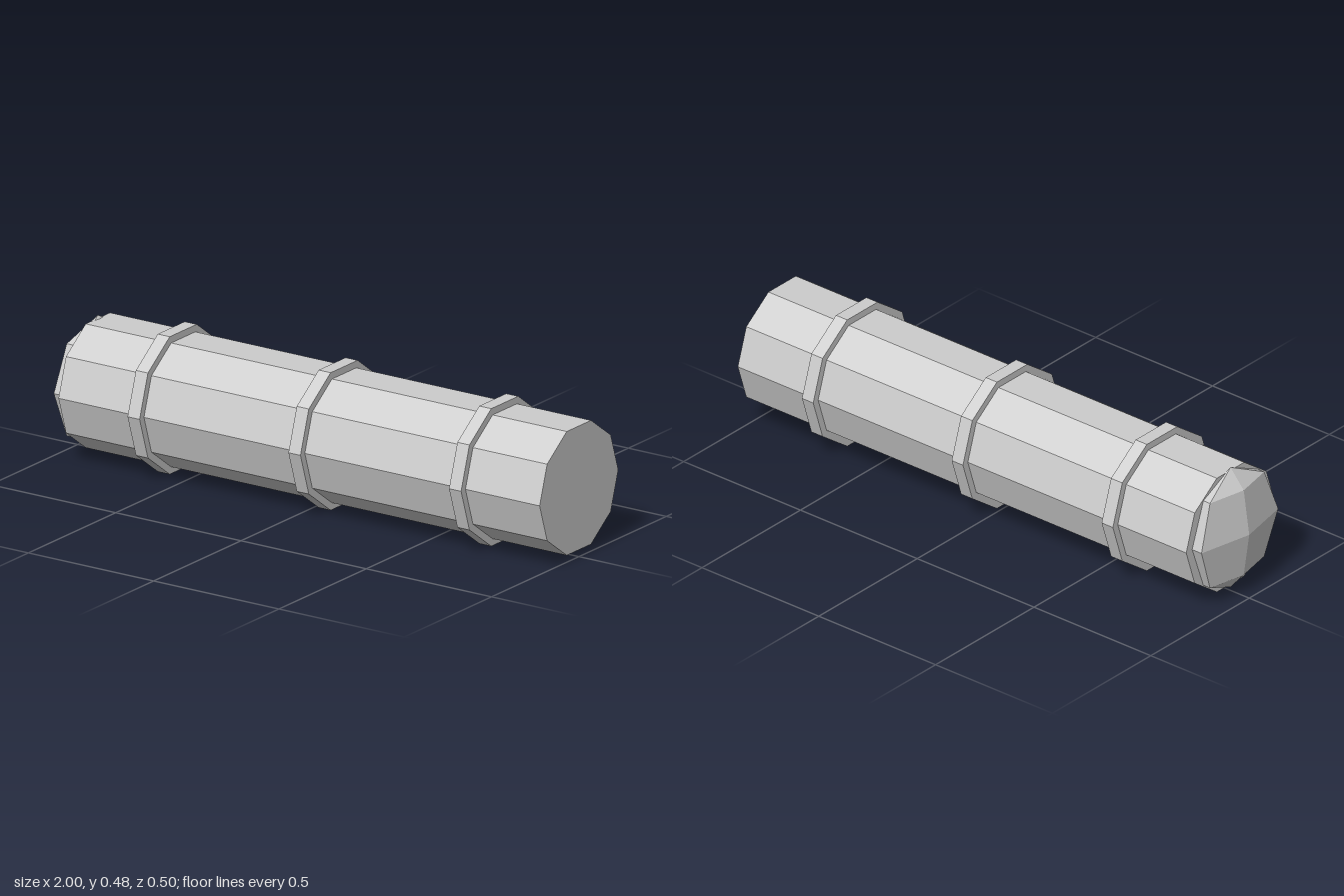
import * as THREE from 'three';

const SIDES = 10;
const BODY_RADIUS = 0.225;
const BAND_RADIUS = 0.25;
const AXIS_Y = BAND_RADIUS * Math.cos(Math.PI / SIDES); // bands rest on the ground

export function createModel() {
  const grey = new THREE.MeshStandardMaterial({ color: 0xcccccc, flatShading: true });
  grey.name = 'light grey';

  const model = new THREE.Group();
  model.name = 'bandedPipe';

  const add = (name, geometry, x) => {
    const mesh = new THREE.Mesh(geometry, grey);
    mesh.name = name;
    mesh.position.set(x, AXIS_Y, 0);
    model.add(mesh);
  };

  // Ten-sided prism lying along x
  const prism = (radius, length) =>
    new THREE.CylinderGeometry(radius, radius, length, SIDES).rotateZ(-Math.PI / 2);

  // Main pipe from x = -0.92 to x = 1
  add('pipeBody', prism(BODY_RADIUS, 1.92), 0.04);

  // Three raised bands
  [-0.603, 0.039, 0.68].forEach((x, i) => add(`band${i + 1}`, prism(BAND_RADIUS, 0.048), x));

  // Flattened faceted dome closing the right end
  add('endDome', new THREE.SphereGeometry(BODY_RADIUS, 6, 4).scale(0.08 / BODY_RADIUS, 1, 1), -0.92);

  return model;
}
